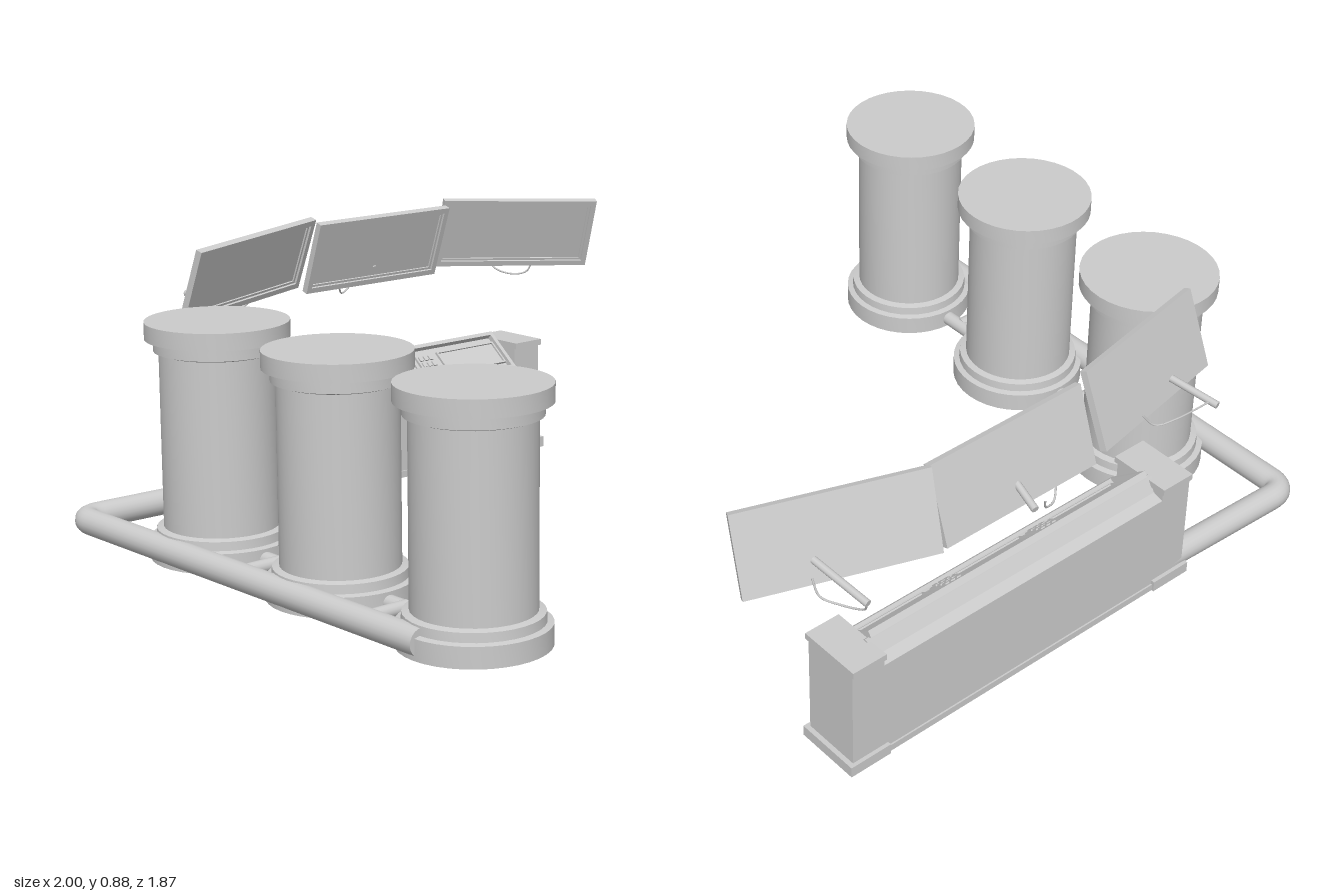
import * as THREE from 'three';
import { toCreasedNormals } from 'three/addons/utils/BufferGeometryUtils.js';

const grey = new THREE.MeshStandardMaterial({ color: 0xcccccc });
const V = (x, y, z) => new THREE.Vector3(x, y, z);

function add(parent, name, geometry, x = 0, y = 0, z = 0) {
  const mesh = new THREE.Mesh(geometry, grey);
  mesh.name = name;
  mesh.position.set(x, y, z);
  parent.add(mesh);
  return mesh;
}

// Box given by its minimum and maximum corners
function box(parent, name, x0, x1, y0, y1, z0, z1) {
  return add(parent, name, new THREE.BoxGeometry(x1 - x0, y1 - y0, z1 - z0),
    (x0 + x1) / 2, (y0 + y1) / 2, (z0 + z1) / 2);
}

// Straight round bar between two points
function rod(parent, name, a, b, radius, sides = 16) {
  const mesh = add(parent, name, new THREE.CylinderGeometry(radius, radius, a.distanceTo(b), sides));
  mesh.position.copy(a).add(b).multiplyScalar(0.5);
  mesh.quaternion.setFromUnitVectors(V(0, 1, 0), b.clone().sub(a).normalize());
  return mesh;
}

// Rectangular frame in the xy plane, extruded along z
function frameGeometry(w, h, border, depth) {
  const rect = (P, a, b) => new P([[-a, -b], [a, -b], [a, b], [-a, b]].map(p => new THREE.Vector2(...p)));
  const shape = rect(THREE.Shape, w / 2, h / 2);
  shape.holes.push(rect(THREE.Path, w / 2 - border, h / 2 - border));
  return new THREE.ExtrudeGeometry(shape, { depth, bevelEnabled: false });
}

// Tank with stepped collars at both ends
function makeTank(z) {
  const profile = [[0, 0], [0.21, 0], [0.21, 0.06], [0.192, 0.064], [0.19, 0.09], [0.17, 0.095],
    [0.17, 0.61], [0.185, 0.615], [0.185, 0.65], [0.21, 0.65], [0.21, 0.70], [0, 0.70]];
  const lathe = new THREE.LatheGeometry(profile.map(p => new THREE.Vector2(...p)), 36);
  const tank = new THREE.Mesh(toCreasedNormals(lathe, 0.5), grey);
  tank.name = 'tank';
  tank.position.set(-0.775, 0, z);
  return tank;
}

// Main pipe with an elbow, and the thin links between tanks
function makePipes() {
  const pipes = new THREE.Group();
  pipes.name = 'pipes';
  const path = new THREE.CurvePath(), y = 0.045;
  path.add(new THREE.LineCurve3(V(-0.96, y, 0.73), V(-0.96, y, -0.78)));
  path.add(new THREE.QuadraticBezierCurve3(V(-0.96, y, -0.78), V(-0.96, y, -0.84), V(-0.90, y, -0.84)));
  path.add(new THREE.LineCurve3(V(-0.90, y, -0.84), V(-0.44, y, -0.825)));
  add(pipes, 'mainPipe', new THREE.TubeGeometry(path, 150, 0.04, 20));
  add(pipes, 'pipeEnd', new THREE.CircleGeometry(0.04, 20), -0.96, y, 0.73);
  for (const z of [-0.10, 0.455]) {
    rod(pipes, 'branchPipe', V(-0.95, 0.035, z), V(-0.775, 0.035, z), 0.02);
    rod(pipes, 'linkPipe', V(-0.775, 0.028, z - 0.14), V(-0.775, 0.028, z + 0.14), 0.023);
  }
  return pipes;
}

// Keypad of small raised keys
function addKeypad(panel, x) {
  box(panel, 'keypadBase', x - 0.035, x + 0.035, 0, 0.008, -0.042, 0.042);
  for (let i = 0; i < 3; i++) for (let j = 0; j < 3; j++) {
    const kx = x - 0.021 + i * 0.021, kz = -0.026 + j * 0.026;
    box(panel, 'key', kx - 0.007, kx + 0.007, 0.008, 0.013, kz - 0.009, kz + 0.009);
  }
}

function makeConsole() {
  const desk = new THREE.Group();
  desk.name = 'controlConsole';
  // Middle body with a sloping top; profile runs from front to back
  const profile = [[0.68, 0.02], [0.865, 0.02], [0.865, 0.335], [0.83, 0.345], [0.805, 0.385], [0.795, 0.385], [0.68, 0.29]];
  const body = new THREE.ExtrudeGeometry(new THREE.Shape(profile.map(p => new THREE.Vector2(...p))),
    { depth: 1.07, bevelEnabled: false });
  body.rotateY(Math.PI / 2);
  add(desk, 'body', body, -0.38);
  box(desk, 'plinth', -0.40, 0.71, 0, 0.022, -0.87, -0.675);
  // End blocks with feet and caps, mirrored about the console centre
  for (const s of [-1, 1]) {
    const end = new THREE.Group();
    end.name = 'endBlock';
    end.position.x = 0.155 + s * 0.58;
    box(end, 'endBody', -0.055, 0.055, 0, 0.365, -0.865, -0.68);
    box(end, 'endCap', -0.058, 0.058, 0.36, 0.38, -0.872, -0.67);
    box(end, 'foot', -0.07, 0.07, 0, 0.035, -0.877, -0.668);
    desk.add(end);
  }
  // Sloping control panel
  const panel = new THREE.Group();
  panel.name = 'controlPanel';
  panel.position.set(0.155, 0.34, -0.738);
  panel.rotation.x = 0.69;
  const rim = frameGeometry(1.04, 0.165, 0.014, 0.02);
  rim.rotateX(-Math.PI / 2);
  add(panel, 'panelRim', rim, 0, -0.004, 0);
  for (const x of [-0.355, 0.01, 0.375]) {
    const bezel = frameGeometry(0.255, 0.092, 0.006, 0.008);
    bezel.rotateX(-Math.PI / 2);
    add(panel, 'displayBezel', bezel, x, 0, 0);
    box(panel, 'display', x - 0.12, x + 0.12, -0.002, 0.003, -0.042, 0.042);
  }
  for (const x of [-0.173, 0.187]) addKeypad(panel, x);
  desk.add(panel);
  box(desk, 'panelLip', -0.36, 0.67, 0.28, 0.302, -0.69, -0.668);
  return desk;
}

// Monitor: centre, direction along its width, direction up its height
function makeMonitor(center, across, up) {
  const monitor = new THREE.Group();
  monitor.name = 'monitor';
  const u = across.clone().normalize(), n = u.clone().cross(up).normalize(), v = n.clone().cross(u);
  monitor.quaternion.setFromRotationMatrix(new THREE.Matrix4().makeBasis(u, v, n));
  monitor.position.copy(center);
  add(monitor, 'backPlate', new THREE.BoxGeometry(0.545, 0.245, 0.01), 0, 0, -0.005);
  add(monitor, 'bezel', frameGeometry(0.545, 0.245, 0.018, 0.012));
  add(monitor, 'innerBezel', frameGeometry(0.51, 0.21, 0.008, 0.005));
  return monitor;
}

export function createModel() {
  const model = new THREE.Group();
  model.name = 'controlStation';
  for (const z of [-0.375, 0.175, 0.725]) model.add(makeTank(z));
  model.add(makePipes(), makeConsole());

  // Three monitors, each with a rear bracket and a hanging cable
  const monitors = [
    { center: V(-0.375, 0.75, -0.755), across: V(0.53, 0.03, -0.12), up: V(0.008, 0.237, 0.093),
      bracket: [V(-0.455, 0.69, -0.78), V(-0.49, 0.665, -0.93)],
      cable: [V(-0.46, 0.69, -0.925), V(-0.39, 0.63, -0.87), V(-0.34, 0.615, -0.84), V(-0.30, 0.66, -0.82)] },
    { center: V(0.193, 0.742, -0.818), across: V(1, 0, 0), up: V(0, 0.235, 0.081),
      bracket: [V(0.195, 0.69, -0.84), V(0.21, 0.665, -0.93)],
      cable: [V(0.16, 0.66, -0.915), V(0.14, 0.615, -0.90), V(0.09, 0.60, -0.88), V(0.06, 0.64, -0.855)] },
    { center: V(0.735, 0.748, -0.737), across: V(0.5, -0.027, 0.212), up: V(-0.022, 0.238, 0.078),
      bracket: [V(0.815, 0.705, -0.74), V(0.79, 0.67, -0.93)],
      cable: [V(0.79, 0.67, -0.92), V(0.77, 0.61, -0.89), V(0.79, 0.588, -0.82), V(0.82, 0.60, -0.77), V(0.825, 0.65, -0.745)] },
  ];
  for (const m of monitors) {
    model.add(makeMonitor(m.center, m.across, m.up));
    rod(model, 'bracket', ...m.bracket, 0.011, 10);
    add(model, 'cable', new THREE.TubeGeometry(new THREE.CatmullRomCurve3(m.cable), 24, 0.003, 6));
  }
  return model;
}
